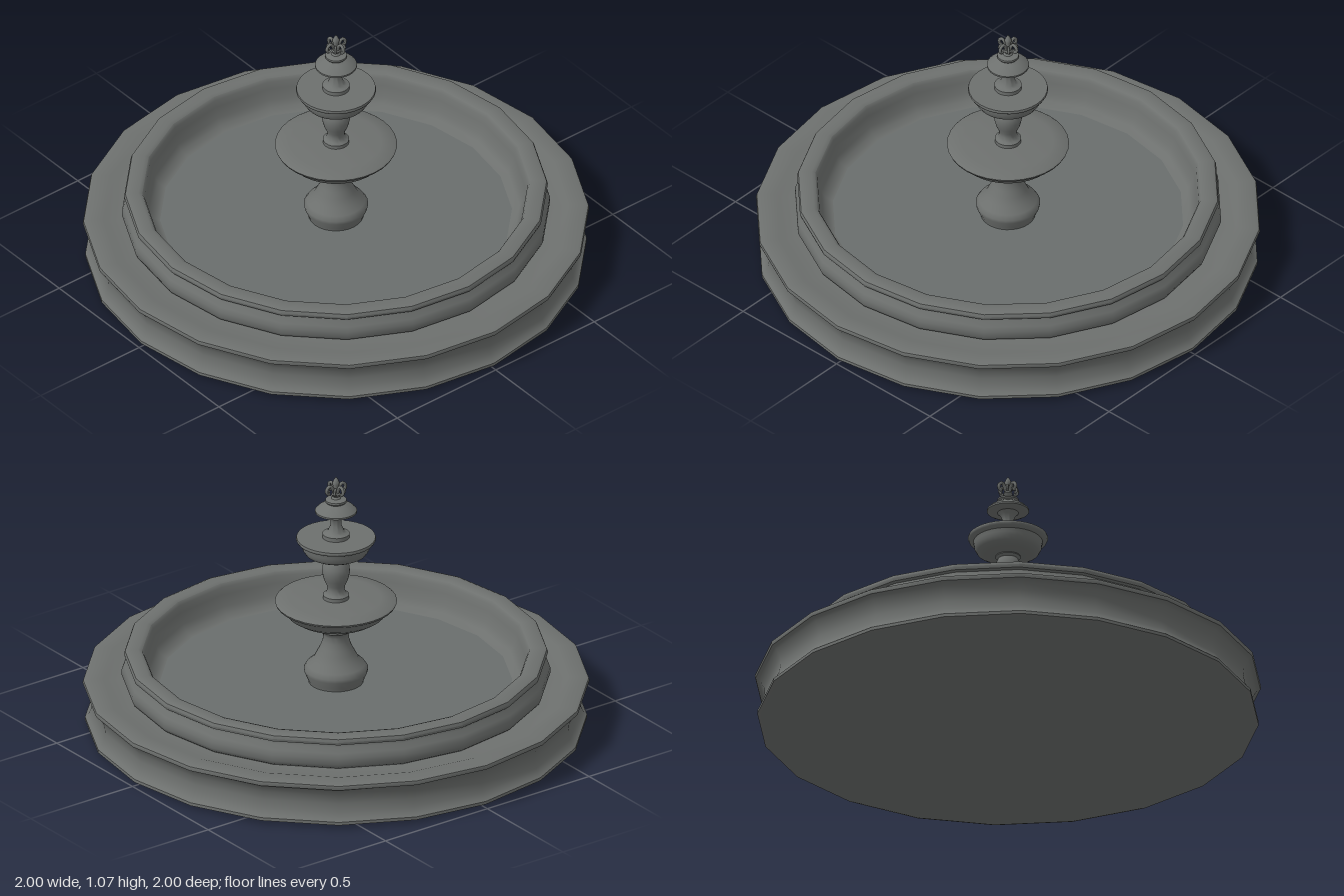
import * as THREE from 'three';
import { toCreasedNormals } from 'three/addons/utils/BufferGeometryUtils.js';

const stone = new THREE.MeshStandardMaterial({ color: 0x6d706e });
stone.name = 'grey stone';
const pool = new THREE.MeshStandardMaterial({ color: 0x696e6d });
pool.name = 'pool grey';

// Turned part: profile of [radius, height] from bottom to top
function turned(name, profile, sides, material = stone) {
  const points = profile.map(([r, y]) => new THREE.Vector2(r, y));
  const geometry = toCreasedNormals(new THREE.LatheGeometry(points, sides), 0.75);
  const mesh = new THREE.Mesh(geometry, material);
  mesh.name = name;
  return mesh;
}

// One curled leaf of the finial, pointing along +x
function leaf(name, size) {
  const group = new THREE.Group();
  group.name = name;
  const path = new THREE.CatmullRomCurve3(
    [[0.006, 0.99], [0.014, 1.015], [0.028, 1.034], [0.042, 1.028], [0.046, 1.01], [0.038, 1.004]]
      .map(([x, y]) => new THREE.Vector3(x * size, 0.99 + (y - 0.99) * size, 0)));
  group.add(new THREE.Mesh(new THREE.TubeGeometry(path, 12, 0.007 * size, 6), stone));
  const tip = new THREE.Mesh(new THREE.SphereGeometry(0.008 * size, 8, 6), stone);
  tip.position.copy(path.getPoint(1));
  group.add(tip);
  return group;
}

export function createModel() {
  const model = new THREE.Group();
  model.name = 'fountain';

  // Wide twenty-sided base with a hollowed side
  model.add(turned('basePlinth', [
    [0, 0], [0.73, 0.003], [0.975, 0.01], [0.99, 0.015], [0.99, 0.028], [0.978, 0.038],
    [0.967, 0.06], [0.96, 0.095], [0.964, 0.13], [0.978, 0.155], [0.985, 0.165],
    [0.997, 0.17], [1, 0.178], [0.997, 0.188], [0.985, 0.192],
    [0.92, 0.192], [0.905, 0.187], [0.82, 0.187],
  ], 20));

  // Basin wall with a rounded belly and a rolled rim
  model.add(turned('basinWall', [
    [0.825, 0.185], [0.838, 0.195], [0.845, 0.21], [0.845, 0.235], [0.838, 0.255],
    [0.822, 0.275], [0.82, 0.285], [0.833, 0.29], [0.837, 0.302], [0.832, 0.314],
    [0.82, 0.319], [0.78, 0.319], [0.765, 0.314], [0.757, 0.3], [0.752, 0.27],
    [0.74, 0.225], [0.725, 0.197], [0.70, 0.183], [0.69, 0.181],
  ], 20));
  model.add(turned('basinFloor', [[0.70, 0.182], [0, 0.182]], 20, pool));

  // Vase-shaped pedestal
  model.add(turned('pedestal', [
    [0.108, 0.18], [0.112, 0.195], [0.125, 0.225], [0.127, 0.24], [0.115, 0.258],
    [0.09, 0.28], [0.075, 0.31], [0.062, 0.335], [0.053, 0.36], [0.05, 0.385],
    [0.055, 0.4], [0.068, 0.408], [0.07, 0.42], [0.062, 0.43], [0.075, 0.45],
  ], 28));

  // Large bowl
  model.add(turned('largeBowl', [
    [0, 0.44], [0.075, 0.44], [0.12, 0.446], [0.165, 0.46], [0.195, 0.48], [0.206, 0.498],
    [0.215, 0.508], [0.237, 0.521], [0.241, 0.53], [0.235, 0.535], [0.18, 0.543], [0, 0.543],
  ], 32));

  // Baluster between the bowls
  model.add(turned('middleStem', [
    [0.052, 0.54], [0.052, 0.558], [0.04, 0.565], [0.034, 0.582], [0.037, 0.6],
    [0.048, 0.625], [0.055, 0.655], [0.054, 0.68], [0.045, 0.7], [0.04, 0.71],
    [0.05, 0.718], [0.05, 0.73], [0.055, 0.74],
  ], 24));

  // Small bowl
  model.add(turned('smallBowl', [
    [0, 0.722], [0.06, 0.722], [0.1, 0.73], [0.122, 0.742], [0.132, 0.758], [0.134, 0.772],
    [0.137, 0.786], [0.154, 0.793], [0.158, 0.801], [0.156, 0.808], [0, 0.808],
  ], 32));

  // Slim upper stem
  model.add(turned('upperStem', [
    [0.054, 0.806], [0.054, 0.824], [0.04, 0.828], [0.032, 0.835], [0.022, 0.86],
    [0.022, 0.88], [0.03, 0.9], [0.045, 0.915],
  ], 24));

  // Domed cap
  model.add(turned('cap', [
    [0, 0.912], [0.07, 0.912], [0.083, 0.918], [0.083, 0.925], [0.07, 0.938], [0.05, 0.95],
    [0.037, 0.957], [0.043, 0.964], [0.042, 0.971], [0.02, 0.977], [0, 0.977],
  ], 28));

  // Finial: bud in the middle, curled leaves around it
  const finial = new THREE.Group();
  finial.name = 'finial';
  finial.add(turned('bud', [
    [0.022, 0.973], [0.014, 0.985], [0.019, 0.994], [0.014, 1.004], [0.009, 1.015],
    [0.013, 1.035], [0.014, 1.045], [0.008, 1.058], [0, 1.07],
  ], 12));
  for (let i = 0; i < 8; i++) {
    const part = leaf(i % 2 ? 'smallLeaf' : 'largeLeaf', i % 2 ? 0.75 : 1);
    part.rotation.y = i * Math.PI / 4;
    finial.add(part);
  }
  model.add(finial);
  return model;
}
